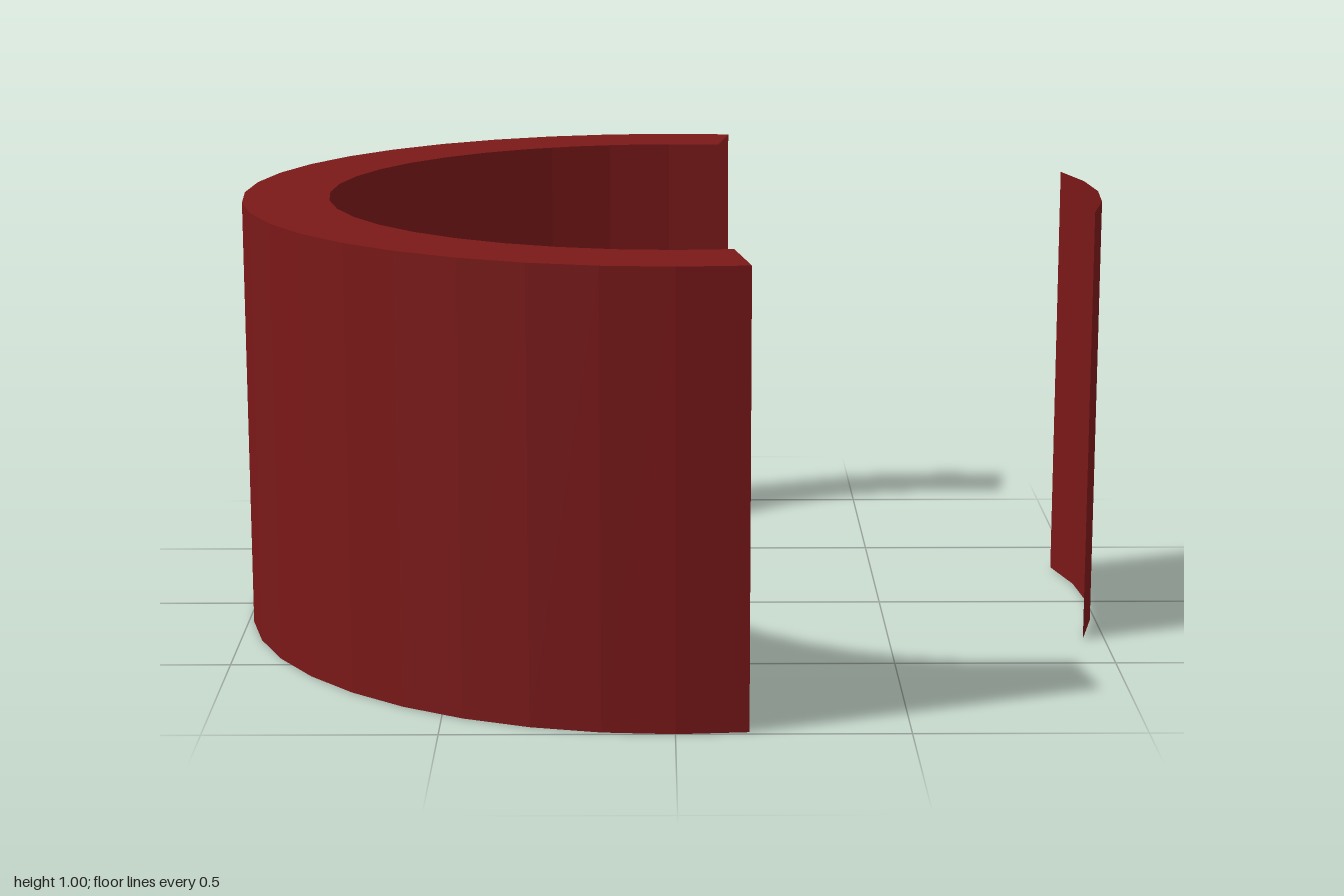
import * as THREE from 'three';

const STEP = Math.PI / 20; // 40 facets to the full circle
const RADIUS = 1, INNER = 0.8, HEIGHT = 1;

export function createModel() {
  const group = new THREE.Group();
  const material = new THREE.MeshStandardMaterial({
    color: 0x7a1818, side: THREE.DoubleSide, flatShading: true,
  });

  const add = (name, geometry, y) => {
    const mesh = new THREE.Mesh(geometry, material);
    mesh.name = name;
    mesh.position.y = y;
    group.add(mesh);
  };

  // Open curved sheet covering a number of facets
  const sheet = (first, count) => new THREE.CylinderGeometry(
    RADIUS, RADIUS, HEIGHT, count, 1, true, first * STEP, count * STEP);

  // Flat rim reaching inward from the wall
  const rim = () => new THREE.RingGeometry(
    INNER, RADIUS, 22, 1, 9 * STEP, 22 * STEP).rotateX(-Math.PI / 2);

  add('curvedWall', sheet(19, 22), HEIGHT / 2);
  add('detachedPanel', sheet(8, 4), HEIGHT / 2);
  add('topRim', rim(), HEIGHT);
  add('bottomRim', rim(), 0);

  return group;
}
